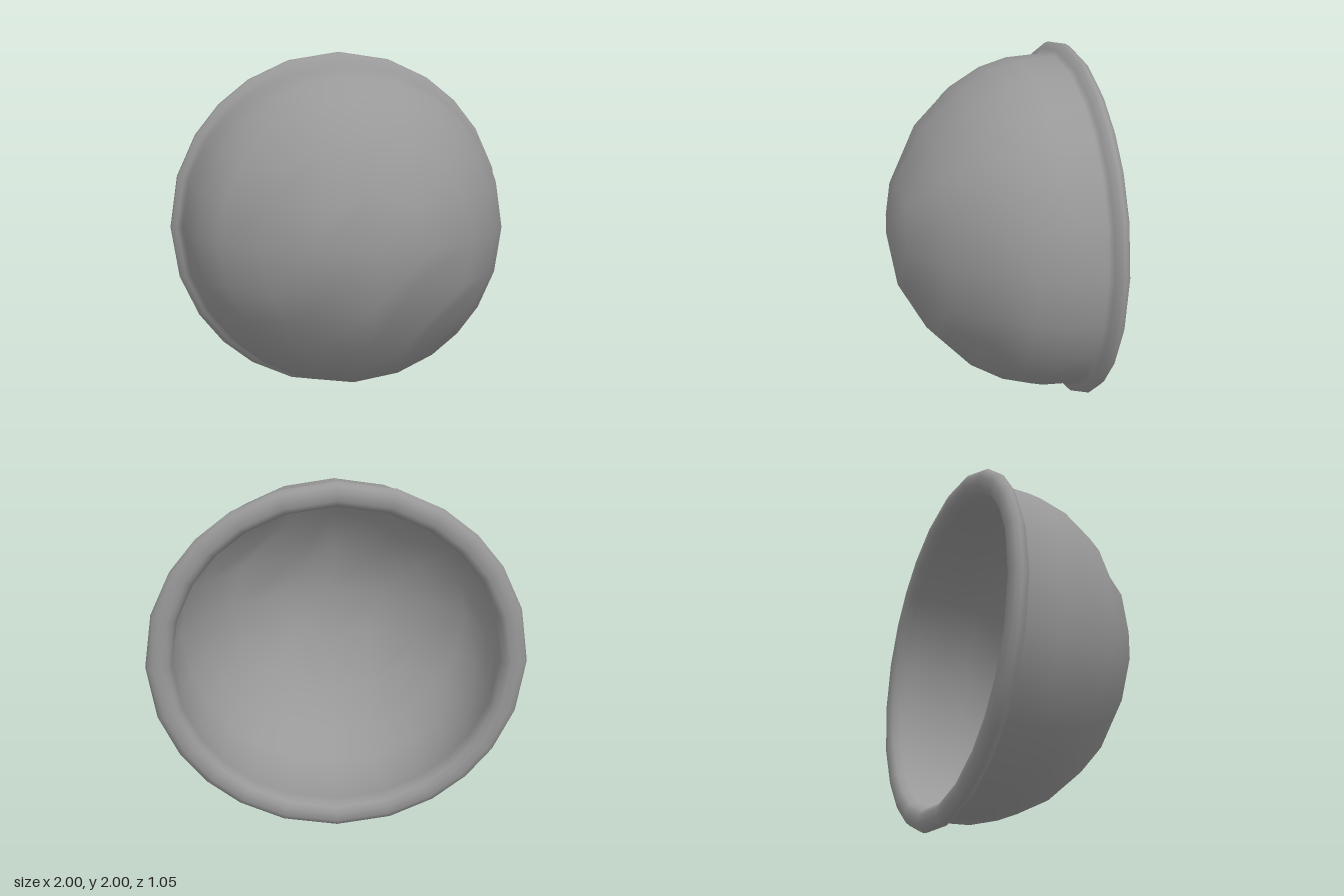
import * as THREE from 'three';
import { mergeGeometries, mergeVertices } from 'three/addons/utils/BufferGeometryUtils.js';

// [radius, z] of each ring, from the pole outwards
const OUTER_CAP = [[0, 0.527], [0.31, 0.47], [0.59, 0.31], [0.78, 0.11]];
const INNER_CAP = [[0, 0.49], [0.3, 0.435], [0.567, 0.283], [0.75, 0.09]];
const WALL_AND_RIM = [
  OUTER_CAP[3], [0.88, -0.07], [0.925, -0.23], [0.935, -0.42],
  [0.965, -0.44], [0.995, -0.465], [1.0, -0.485], [0.985, -0.51], [0.955, -0.525],
  [0.91, -0.525], [0.88, -0.505], [0.862, -0.465],
  [0.875, -0.42], [0.882, -0.23], [0.843, -0.075], INNER_CAP[3],
];

// Spreads the points of each eighth of a ring a little towards its diagonal
const spread = (t) => (t + 0.23 * t * (1 - Math.abs(t))) * Math.PI / 4;

// Puts a point on its ring; the dome sinks slightly along its diagonals
function place(pos, i, [radius, z], angle) {
  const sink = 0.02 * Math.max(z, 0) * Math.sin(2 * angle) ** 2;
  pos.setXYZ(i, radius * Math.cos(angle), radius * Math.sin(angle), z - sink);
}

// Dome end: a 6 x 6 grid rounded into concentric rings; flip = -1 faces inwards
function cap(profile, flip) {
  const geo = new THREE.PlaneGeometry(6, 6, 6, 6);
  const pos = geo.attributes.position;
  for (let i = 0; i < pos.count; i++) {
    const x = Math.round(pos.getX(i)) * flip;
    const y = Math.round(pos.getY(i));
    const ring = Math.max(Math.abs(x), Math.abs(y));
    let angle = 0;
    if (ring > 0) {
      angle = Math.abs(x) >= Math.abs(y)
        ? spread(y / x) + (x < 0 ? Math.PI : 0)
        : Math.PI / 2 - spread(x / y) + (y < 0 ? Math.PI : 0);
    }
    place(pos, i, profile[ring], angle);
  }
  return geo;
}

// 24-sided band swept round the axis
function band(profile) {
  const geo = new THREE.PlaneGeometry(1, 1, 24, profile.length - 1);
  const pos = geo.attributes.position;
  for (let i = 0; i < pos.count; i++) {
    const column = i % 25;
    const quarter = Math.round(column / 6);
    const angle = quarter * Math.PI / 2 + spread((column - quarter * 6) / 3);
    place(pos, i, profile[Math.floor(i / 25)], angle);
  }
  return geo;
}

export function createModel() {
  const group = new THREE.Group();
  group.name = 'bowl';

  // Thick shell with a rolled rim, welded so it shades smoothly
  let geo = mergeGeometries([cap(OUTER_CAP, 1), band(WALL_AND_RIM), cap(INNER_CAP, -1)]);
  geo.deleteAttribute('normal');
  geo.deleteAttribute('uv');
  geo = mergeVertices(geo, 1e-4);
  geo.computeVertexNormals();

  const shell = new THREE.Mesh(geo, new THREE.MeshStandardMaterial({ color: 0x999999 }));
  shell.name = 'rimmedShell';
  shell.position.y = 1;
  group.add(shell);
  return group;
}
